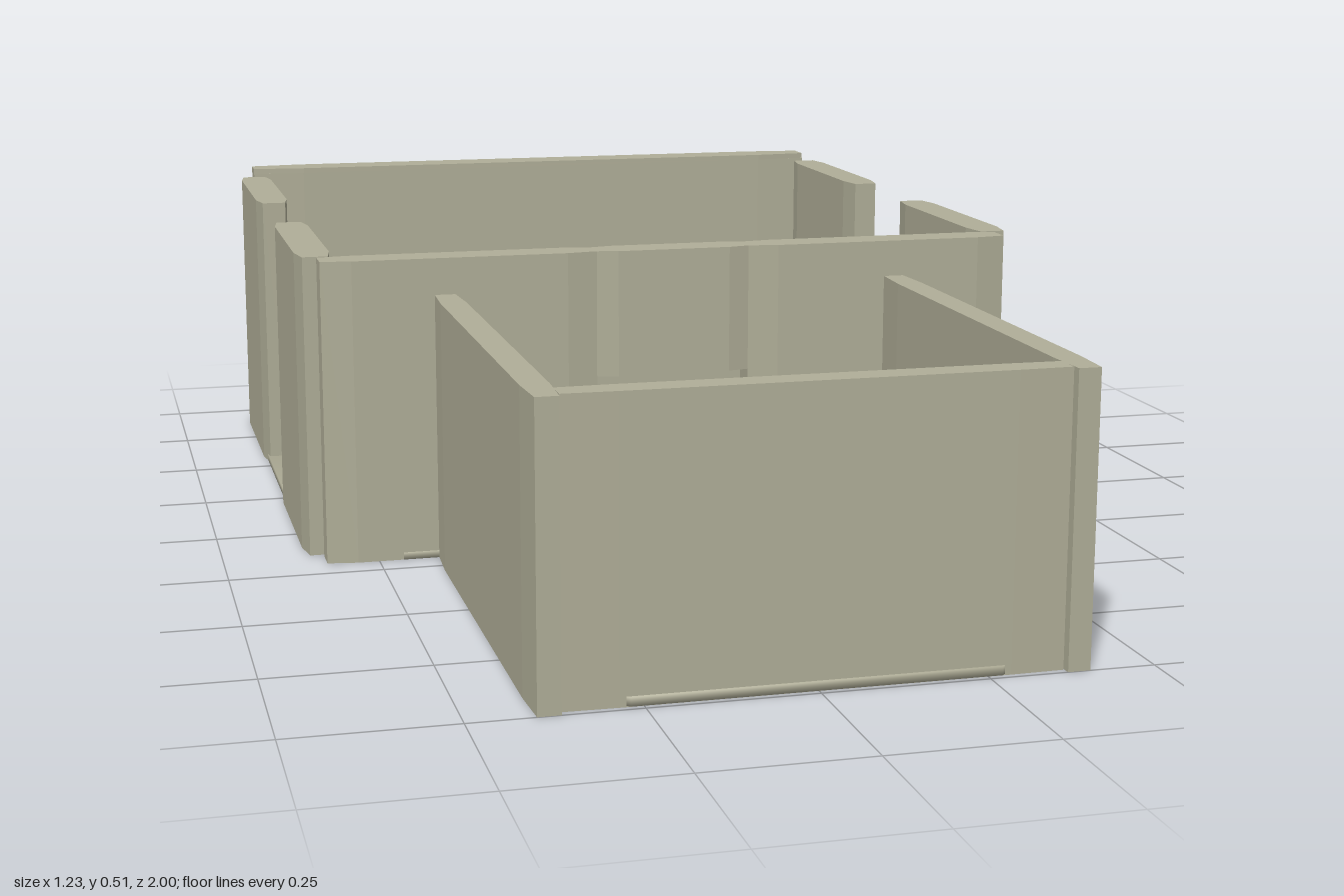
import * as THREE from 'three';

const stone = new THREE.MeshStandardMaterial({ color: 0xb0ae98 });
stone.name = 'stone';

// Straight wall between two x (or z) limits, its ends slightly thinned
function wall(name, x0, x1, z0, z1, y0, y1, taper = 0.05, cut = 0.008) {
  const w = x1 - x0, d = z1 - z0;
  const alongX = w > d;
  const L = (alongX ? w : d) / 2, T = (alongX ? d : w) / 2;
  const plan = [
    [-L, -T + cut], [-L + taper, -T], [L - taper, -T], [L, -T + cut],
    [L, T - cut], [L - taper, T], [-L + taper, T], [-L, T - cut],
  ].map(([a, b]) => new THREE.Vector2(a, b));
  const geo = new THREE.ExtrudeGeometry(new THREE.Shape(plan), { depth: y1 - y0, bevelEnabled: false });
  geo.rotateX(-Math.PI / 2);
  if (!alongX) geo.rotateY(Math.PI / 2);
  geo.translate((x0 + x1) / 2, y0, (z0 + z1) / 2);
  const mesh = new THREE.Mesh(geo, stone);
  mesh.name = name;
  return mesh;
}

// Thin floor slab with cut corners and soft, outward-leaning normals
function floor(name, a, z0, z1, c, y0, y1) {
  const ring = [
    [a - c, z0], [-a + c, z0], [-a, z0 + c], [-a, z1 - c],
    [-a + c, z1], [a - c, z1], [a, z1 - c], [a, z0 + c],
  ];
  const zm = (z0 + z1) / 2, pos = [], nor = [], idx = [];
  for (const [y, up] of [[y0, -1], [y1, 1]]) {
    for (const [x, z] of ring) {
      const out = new THREE.Vector3(x, 0, z - zm).normalize();
      const n = out.multiplyScalar(0.9).setY(up).normalize();
      pos.push(x, y, z);
      nor.push(n.x, n.y, n.z);
    }
  }
  for (let i = 0; i < 8; i++) {
    const j = (i + 1) % 8;
    idx.push(i, j, j + 8, i, j + 8, i + 8);
    if (i > 0 && i < 7) idx.push(8, 8 + i, 9 + i, 0, i + 1, i);
  }
  const geo = new THREE.BufferGeometry();
  geo.setAttribute('position', new THREE.Float32BufferAttribute(pos, 3));
  geo.setAttribute('normal', new THREE.Float32BufferAttribute(nor, 3));
  geo.setIndex(idx);
  const mesh = new THREE.Mesh(geo, stone);
  mesh.name = name;
  return mesh;
}

export function createModel() {
  const model = new THREE.Group();
  model.name = 'roomPlan';

  // Floors of the large and small rooms
  model.add(floor('largeRoomFloor', 0.61, -0.985, 0.2, 0.15, 0, 0.012));
  model.add(floor('smallRoomFloor', 0.38, 0.17, 0.995, 0.11, 0.002, 0.015));

  // Back wall with a slim overhanging cap
  model.add(wall('backWall', -0.585, 0.585, -0.99, -0.935, 0, 0.505, 0.1, 0.005));
  model.add(wall('backWallCap', -0.585, 0.585, -1, -0.932, 0.505, 0.515, 0.1, 0.01));

  // Dividing wall: lintel over the doorway, with piers added per side
  model.add(wall('doorLintel', -0.13, 0.13, 0.14, 0.2, 0.29, 0.5, 0.035, 0.008));

  // Front wall of the small room
  model.add(wall('frontWall', -0.365, 0.365, 0.945, 0.99, 0, 0.44, 0.08, 0.002));

  // Mirrored walls
  for (const s of [-1, 1]) {
    const side = s > 0 ? 'left' : 'right';
    const add = (name, a, b, ...rest) =>
      model.add(wall(side + name, Math.min(s * a, s * b), Math.max(s * a, s * b), ...rest));
    add('DoorPier', 0.13, 0.585, 0.14, 0.2, 0, 0.5);
    add('RearSideWall', 0.557, 0.615, -0.932, -0.528, 0, 0.5);
    add('MiddleSideWall', 0.557, 0.615, -0.268, 0.138, 0, 0.5);
    add('SmallRoomSideWall', 0.363, 0.405, 0.2, 1, 0, 0.44, 0.08, 0.004);
  }
  return model;
}
